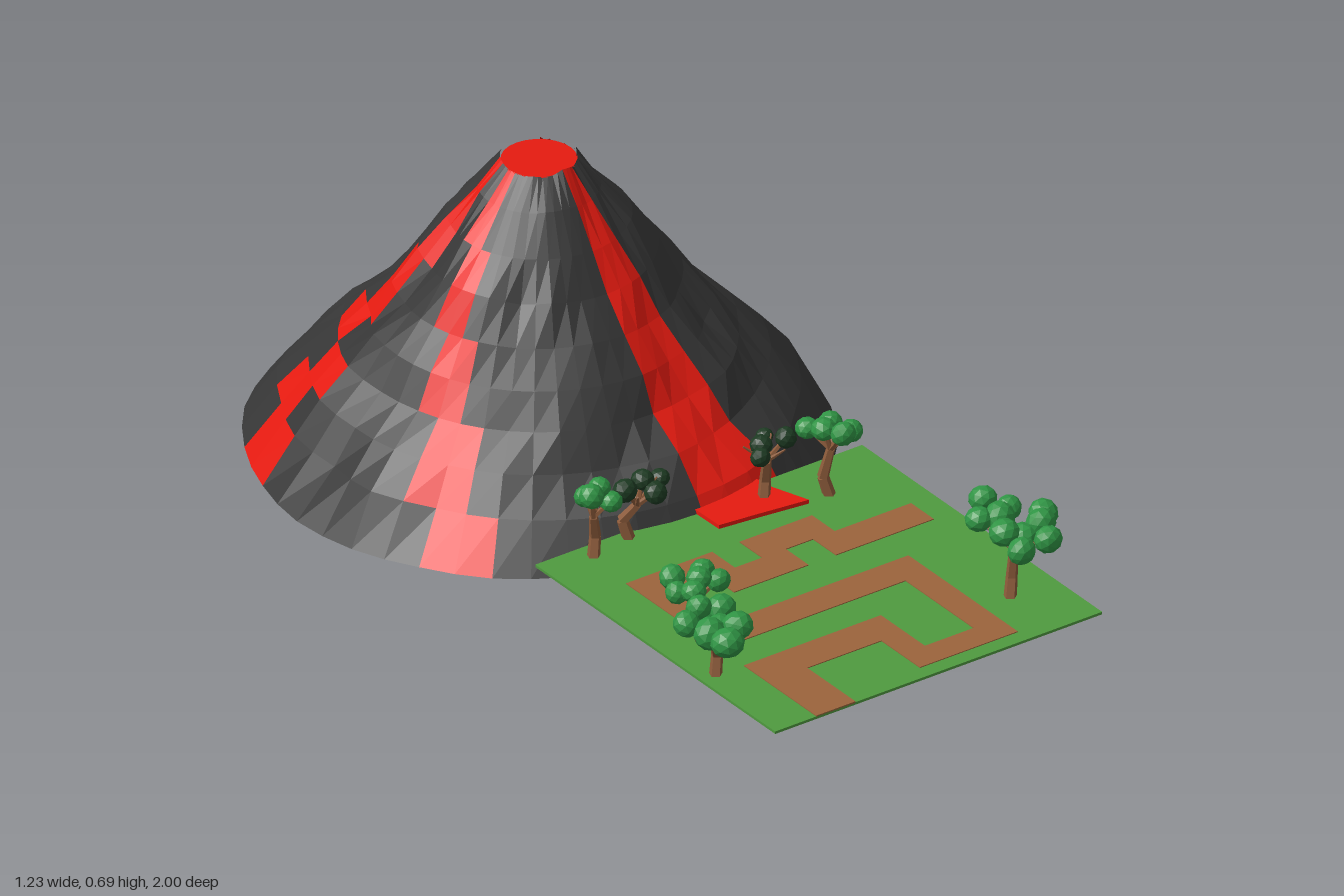
import * as THREE from 'three';

const mat = (color, extra = {}) => new THREE.MeshStandardMaterial({ color, flatShading: true, ...extra });
const rock = mat(0x363636);
const lava = mat(0xe51a10, { side: THREE.DoubleSide });
const grass = mat(0x4f9a3f);
const dirt = mat(0x9b643c);
const bark = mat(0x8b5a3a);
const leaf = mat(0x2f9444);
const charred = mat(0x1d3a22);

const add = (parent, name, geometry, material) => {
  const mesh = new THREE.Mesh(geometry, material);
  mesh.name = name;
  parent.add(mesh);
  return mesh;
};

// Repeatable value in -1..1 for a grid position
const noise = (i, j) => {
  const s = Math.sin(i * 127.1 + j * 311.7) * 43758.5453;
  return 2 * (s - Math.floor(s)) - 1;
};

const SEG = 48, CZ = -0.39;
// Cone profile, rim to foot: radius, height
const RINGS = [[0.08, 0.688], [0.13, 0.625], [0.19, 0.55], [0.245, 0.475], [0.3, 0.4],
  [0.355, 0.33], [0.41, 0.265], [0.475, 0.2], [0.54, 0.13], [0.615, 0.045]];
// Lava streams: first segment in each band, rim to foot, and width in segments
const STREAMS = [
  { from: [9, 9, 9, 9, 9, 9, 9, 9, 9], width: 3 },
  { from: [46, 46, 46, 45, 45, 45, 45, 45, 45], width: 2 },
  { from: [41, 40, 39, 38, 38, 39, 38, 37, 39], width: 2 },
  { from: [26, 26, 26, 27, 27, 28, 26, 27, 26], width: 2 },
  { from: [22, 22, 21, 21, 20, 20, 19, 19, 18], width: 2 },
];

function conePoint(i, j) {
  const [r, y] = RINGS[i], last = i === RINGS.length - 1;
  const k = j % SEG;
  const bump = (noise(i, Math.floor(k / 2)) + noise(i, Math.ceil(k / 2) % (SEG / 2))) / 2;
  const a = (k / SEG) * Math.PI * 2, c = Math.cos(a);
  const rr = r * (1 + bump * (last ? 0.012 : 0.035));
  // The foot dips towards both sides
  const h = last ? y - (c > 0 ? 0.045 : 0.02) * Math.abs(c) : y + bump * 0.008;
  return [rr * c, h, CZ + rr * Math.sin(a)];
}

function fromTriangles(list) {
  const g = new THREE.BufferGeometry();
  g.setAttribute('position', new THREE.Float32BufferAttribute(list, 3));
  g.computeVertexNormals();
  return g;
}

function makeVolcano() {
  const group = new THREE.Group();
  group.name = 'volcano';
  const dark = [], hot = [], base = [], foot = RINGS.length - 1;
  for (let j = 0; j < SEG; j++) {
    for (let i = 0; i < foot; i++) {
      const isLava = STREAMS.some(({ from, width }) => j >= from[i] && j < from[i] + width);
      const a = conePoint(i, j), b = conePoint(i, j + 1), c = conePoint(i + 1, j + 1), d = conePoint(i + 1, j);
      (isLava ? hot : dark).push(...a, ...b, ...c, ...a, ...c, ...d);
    }
    base.push(0, 0.03, CZ, ...conePoint(foot, j), ...conePoint(foot, j + 1));
  }
  add(group, 'rockSlopes', fromTriangles(dark), rock);
  add(group, 'lavaStreams', fromTriangles(hot), lava);
  add(group, 'volcanoBase', fromTriangles(base), rock);
  const pool = add(group, 'craterLava', new THREE.CircleGeometry(0.08, 24).rotateX(-Math.PI / 2), lava);
  pool.position.set(0, 0.682, CZ);

  // Lava tongue spilling onto the grass
  const tongue = new THREE.Shape([[-0.015, 0.1], [-0.012, 0.26], [0.08, 0.27], [0.2, 0.285], [0.17, 0.2], [0.155, 0.1]]
    .map(([x, z]) => new THREE.Vector2(x, -z)));
  const spill = new THREE.ExtrudeGeometry(tongue, { depth: 0.012, bevelEnabled: false }).rotateX(-Math.PI / 2);
  add(group, 'lavaTongue', spill, lava).position.y = 0.103;
  return group;
}

function makeField() {
  const group = new THREE.Group();
  group.name = 'field';
  const slab = (name, x0, x1, z0, z1, y0, y1, m) =>
    add(group, name, new THREE.BoxGeometry(x1 - x0, y1 - y0, z1 - z0), m)
      .position.set((x0 + x1) / 2, (y0 + y1) / 2, (z0 + z1) / 2);
  slab('grass', -0.405, 0.43, 0.155, 1, 0.1, 0.106, grass);
  // Winding dirt path: x0, x1, z0, z1
  [[-0.3, -0.2, 0.33, 0.58], [-0.2, -0.08, 0.33, 0.41], [-0.14, 0.05, 0.41, 0.49], [-0.01, 0.175, 0.33, 0.41],
    [0.12, 0.37, 0.41, 0.49], [-0.3, 0.24, 0.58, 0.66], [0.175, 0.24, 0.66, 0.9], [-0.01, 0.24, 0.9, 0.965],
    [-0.01, 0.05, 0.83, 0.9], [-0.3, 0.05, 0.745, 0.83], [-0.3, -0.2, 0.83, 1]]
    .forEach((r) => slab('path', ...r, 0.104, 0.108, dirt));
  return group;
}

// Trees: foot [x, z], crown centre, crown half widths in x and z, clump count and radius
const TREES = [
  { foot: [-0.37, 0.74], crown: [-0.4, 0.25, 0.77], spread: [0.07, 0.085], count: 7, r: 0.033 },
  { foot: [-0.31, 0.62], crown: [-0.355, 0.265, 0.635], spread: [0.065, 0.045], count: 6, r: 0.029 },
  { foot: [0.31, 0.84], crown: [0.345, 0.25, 0.82], spread: [0.08, 0.13], count: 10, r: 0.031 },
  { foot: [0.26, 0.28], crown: [0.265, 0.25, 0.27], spread: [0.055, 0.06], count: 5, r: 0.026 },
  { foot: [0.13, 0.22], crown: [0.145, 0.24, 0.225], spread: [0.06, 0.04], count: 4, r: 0.022, burnt: true },
  { foot: [-0.18, 0.18], crown: [-0.16, 0.225, 0.2], spread: [0.055, 0.035], count: 4, r: 0.025, burnt: true },
  { foot: [-0.29, 0.2], crown: [-0.285, 0.24, 0.195], spread: [0.045, 0.025], count: 4, r: 0.024 },
];

// Tapered five-sided limb between two points
function limb(parent, name, a, b, r0, r1) {
  const dir = b.clone().sub(a);
  const m = add(parent, name, new THREE.CylinderGeometry(r1, r0, dir.length(), 5), bark);
  m.position.copy(a).addScaledVector(dir, 0.5);
  m.quaternion.setFromUnitVectors(new THREE.Vector3(0, 1, 0), dir.normalize());
}

function makeTree({ foot: [x, z], crown, spread, count, r, burnt }, t) {
  const group = new THREE.Group();
  group.name = burnt ? 'burntTree' : 'tree';
  const centre = new THREE.Vector3(...crown);
  const root = new THREE.Vector3(x, 0.09, z);
  const knee = new THREE.Vector3(x + (t % 2 ? -0.012 : 0.014), 0.145, z - 0.012);
  const fork = new THREE.Vector3((x + crown[0]) / 2, crown[1] - 0.04, (z + crown[2]) / 2);
  limb(group, 'trunk', root, knee, 0.015, 0.013);
  limb(group, 'trunk', knee, fork, 0.013, 0.01);

  // Clumps spiral out over the crown, each on its own branch
  const spiral = (i, reach) => {
    const a = i * 2.4 + t, d = reach * Math.sqrt((i + 0.6) / count);
    return new THREE.Vector3(spread[0] * d * Math.cos(a), noise(i, t) * 0.018 + 0.015 * (1 - d), spread[1] * d * Math.sin(a)).add(centre);
  };
  for (let i = 0; i < count; i++) {
    const p = spiral(i, 1);
    limb(group, 'branch', fork, p, 0.007, 0.004);
    const size = r * (1 + 0.15 * noise(t, i));
    const ball = add(group, 'leafClump', new THREE.IcosahedronGeometry(size, 1), burnt ? charred : leaf);
    ball.position.copy(p);
    ball.scale.y = 0.9;
    ball.rotation.set(i, t + i * 2, 0);
  }
  // Burnt trees also keep bare twigs
  if (burnt) for (let i = 0; i < 3; i++) limb(group, 'twig', fork, spiral(i + 0.5, 1.2), 0.006, 0.002);
  return group;
}

export function createModel() {
  const model = new THREE.Group();
  model.name = 'volcanoScene';
  model.add(makeVolcano(), makeField(), ...TREES.map(makeTree));
  return model;
}
